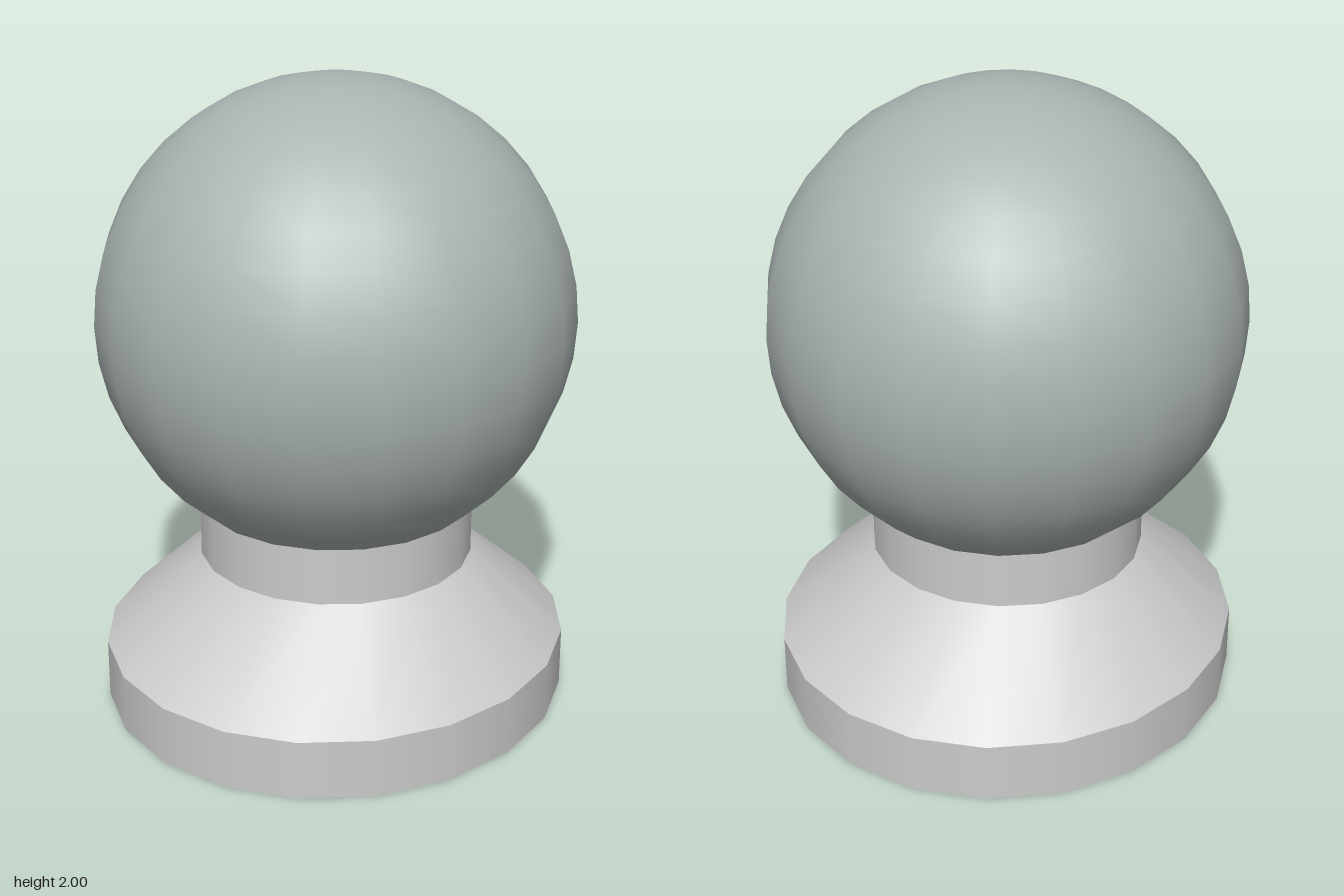
import * as THREE from 'three';
import { mergeVertices } from 'three/addons/utils/BufferGeometryUtils.js';

const SIDES = 20;
const BASE_X = 0.735, BASE_Z = 0.78, NECK = 0.437;
const BASE_TOP = 0.19, TAPER_TOP = 0.47, NECK_TOP = 0.655;
const BALL_R = 0.745, BALL_Y = 1.255;

export function createModel() {
  const group = new THREE.Group();
  const grey = new THREE.MeshStandardMaterial({ color: 0xcccccc });
  const ballGrey = new THREE.MeshStandardMaterial({ color: 0xaab4b2 });

  const add = (name, geometry, material) => {
    const mesh = new THREE.Mesh(geometry, material);
    mesh.name = name;
    group.add(mesh);
  };

  // Slightly oval plinth, closed underneath
  const plinth = new THREE.CylinderGeometry(1, 1, BASE_TOP, SIDES);
  plinth.scale(BASE_X, 1, BASE_Z).translate(0, BASE_TOP / 2, 0);
  add('plinth', plinth, grey);

  // Taper from the oval plinth to the round neck
  let taper = new THREE.CylinderGeometry(NECK, BASE_X, TAPER_TOP - BASE_TOP, SIDES, 1, true);
  const p = taper.attributes.position;
  for (let i = 0; i < p.count; i++) {
    if (p.getY(i) < 0) p.setZ(i, p.getZ(i) * BASE_Z / BASE_X);
  }
  taper.deleteAttribute('normal');
  taper.deleteAttribute('uv');
  taper = mergeVertices(taper);
  taper.computeVertexNormals();
  taper.translate(0, (BASE_TOP + TAPER_TOP) / 2, 0);
  add('taper', taper, grey);

  // Round neck
  const neck = new THREE.CylinderGeometry(NECK, NECK, NECK_TOP - TAPER_TOP, SIDES);
  neck.translate(0, (TAPER_TOP + NECK_TOP) / 2, 0);
  add('neck', neck, grey);

  // Ball, cut where it meets the neck
  const cut = Math.acos((NECK_TOP - BALL_Y) / BALL_R);
  const ball = new THREE.SphereGeometry(BALL_R, SIDES, 16, 0, Math.PI * 2, 0, cut);
  ball.translate(0, BALL_Y, 0);
  add('ball', ball, ballGrey);

  return group;
}
